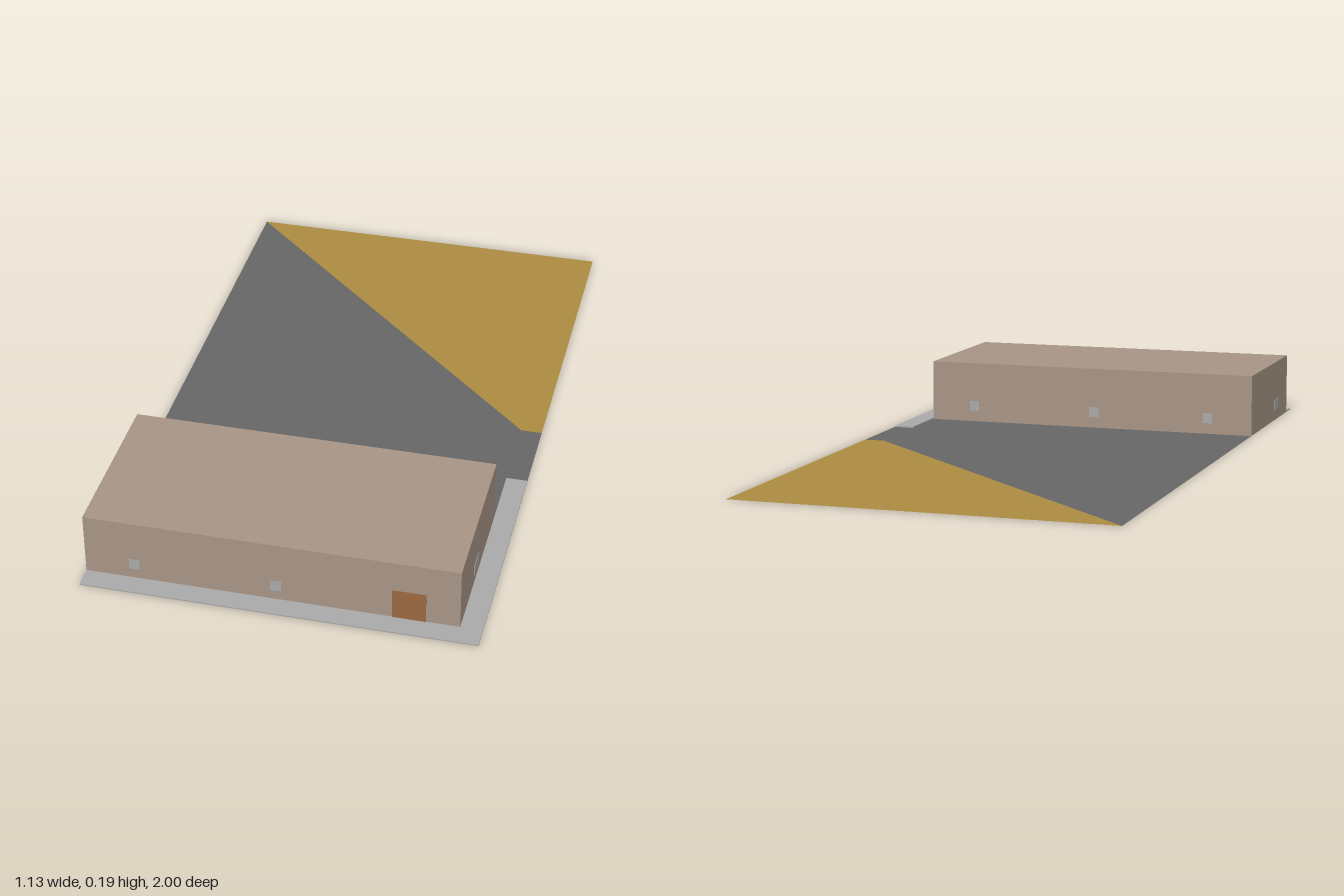
import * as THREE from 'three';

const material = (name, color) => {
  const m = new THREE.MeshStandardMaterial({ color, side: THREE.DoubleSide });
  m.name = name;
  return m;
};

export function createModel() {
  const model = new THREE.Group();
  model.name = 'buildingLot';

  const wall = material('wall', 0xa79586);
  const asphalt = material('asphalt', 0x666666);
  const paleGrey = material('paleGrey', 0xa9a9a9);
  const sand = material('sand', 0xab8b40);
  const wood = material('wood', 0x996840);

  const X = 0.5625, XR = 0.5;          // lot half width, right end of building
  const ZB = 0.4375, ZF = 0.9375;      // back and front of building
  const HEIGHT = 0.19, CURB = 0.004;

  const add = (name, geometry, mat) => {
    const mesh = new THREE.Mesh(geometry, mat);
    mesh.name = name;
    model.add(mesh);
    return mesh;
  };

  // Outline given as [x, z], laid on the ground facing up
  const outline = (points) =>
    new THREE.Shape(points.map(([x, z]) => new THREE.Vector2(x, -z)));
  const lay = (geometry) => geometry.rotateX(-Math.PI / 2);

  // Flat ground, left out beneath the building
  add('pavedYard', lay(new THREE.ShapeGeometry(outline([
    [-X, -1], [-X, ZB], [XR, ZB], [XR, 0.25], [X, 0.25], [X, 0], [XR, 0],
  ]))), asphalt);
  add('sandField', lay(new THREE.ShapeGeometry(outline([
    [-X, -1], [XR, 0], [X, 0], [X, -1],
  ]))), sand);

  // Raised L-shaped walkway
  add('walkway', lay(new THREE.ExtrudeGeometry(outline([
    [-X, ZF], [-X, 1], [X, 1], [X, 0.25], [XR, 0.25], [XR, ZF],
  ]), { depth: CURB, bevelEnabled: false })), paleGrey);

  // Hollow building shell: a box without its floor
  const shell = new THREE.BoxGeometry(XR + X, HEIGHT, ZF - ZB);
  const faces = Array.from(shell.index.array);
  faces.splice(18, 6);
  shell.setIndex(faces);
  shell.clearGroups();
  add('building', shell, wall).position.set((XR - X) / 2, HEIGHT / 2, (ZF + ZB) / 2);

  // Thin panels set through the walls, seen from both sides
  const panel = (name, mat, x, y, z, w, h, d) =>
    add(name, new THREE.BoxGeometry(w, h, d), mat).position.set(x, y, z);
  const THIN = 0.003, WIN_H = 0.032, WIN_Y = 0.05;

  panel('door', wood, 0.358, 0.05, ZF, 0.094, 0.094, THIN);
  for (const x of [-0.42, -0.016])
    panel('frontWindow', paleGrey, x, WIN_Y, ZF, 0.031, WIN_H, THIN);
  for (const x of [-0.42, -0.047, 0.358])
    panel('backWindow', paleGrey, x, WIN_Y, ZB, 0.031, WIN_H, THIN);
  panel('leftEndWindow', paleGrey, XR, WIN_Y, 0.719, THIN, WIN_H, 0.063);
  panel('rightEndWindow', paleGrey, -X + THIN / 2 - 0.0015, WIN_Y, 0.783, THIN, WIN_H, 0.063);

  return model;
}
